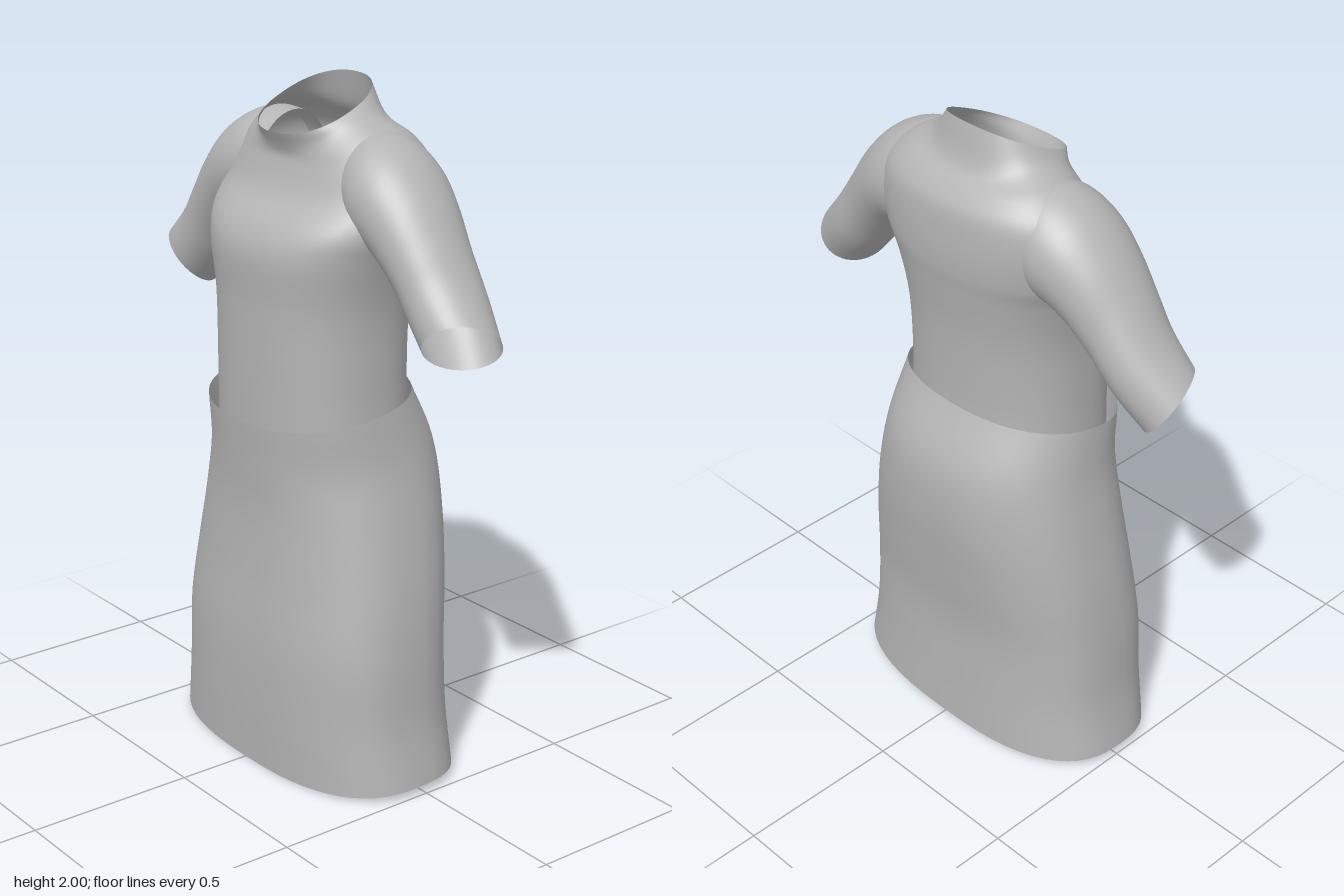
import * as THREE from 'three';

const SEG = 56;
const fabric = new THREE.MeshStandardMaterial({ color: 0xb4b4b4, side: THREE.DoubleSide });
fabric.name = 'grey fabric';

// Open tube of cloth: smooth curves run through matching points of every ring.
function loft(name, ringPoints, steps, flip = false) {
  const pos = [], index = [];
  for (let i = 0; i < SEG; i++) {
    const column = new THREE.CatmullRomCurve3(ringPoints.map(f => f((i / SEG) * Math.PI * 2)));
    for (let j = 0; j <= steps; j++) pos.push(...column.getPoint(j / steps).toArray());
  }
  const row = steps + 1;
  for (let i = 0; i < SEG; i++) {
    for (let j = 0; j < steps; j++) {
      const a = i * row + j, b = ((i + 1) % SEG) * row + j;
      if (flip) index.push(a, b, a + 1, b, b + 1, a + 1);
      else index.push(a, a + 1, b, b, a + 1, b + 1);
    }
  }
  const geometry = new THREE.BufferGeometry();
  geometry.setAttribute('position', new THREE.Float32BufferAttribute(pos, 3));
  geometry.setIndex(index);
  geometry.computeVertexNormals();
  const mesh = new THREE.Mesh(geometry, fabric);
  mesh.name = name;
  return mesh;
}

// Body ring: half width, front z, back z, y at front / side / back, squareness.
const bodyRing = ([w, zF, zB, yF, yS = yF, yB = yF, n = 2.3]) => t => {
  const power = v => Math.sign(v) * Math.pow(Math.abs(v), 2 / n);
  const c = power(Math.cos(t)), s = power(Math.sin(t));
  return new THREE.Vector3(
    w * c,
    yS + s * (yF - yB) / 2 + s * s * ((yF + yB) / 2 - yS),
    (zF + zB) / 2 + s * (zF - zB) / 2
  );
};

// Sleeve ring: upper x,y, lower x,y, front z, back z, slant of the opening.
const sleeveRing = side => ([ux, uy, lx, ly, zF, zB, slant = 0]) => t => {
  const c = Math.cos(t), s = Math.sin(t);
  return new THREE.Vector3(
    side * ((ux + lx) / 2 + c * (ux - lx) / 2 - s * slant),
    (uy + ly) / 2 + c * (uy - ly) / 2 + s * slant,
    (zF + zB) / 2 + s * (zF - zB) / 2
  );
};

const skirtRings = [
  [0.495, 0.28, -0.25, 0.005, 0.03, 0.02, 2.6],
  [0.465, 0.287, -0.245, 0.2, 0.2, 0.2, 2.6],
  [0.45, 0.288, -0.245, 0.4, 0.4, 0.4, 2.6],
  [0.425, 0.275, -0.268, 0.6, 0.6, 0.6, 2.5],
  [0.385, 0.268, -0.288, 0.8, 0.8, 0.8, 2.4],
  [0.35, 0.275, -0.278, 0.93, 0.96, 0.98],
  [0.33, 0.285, -0.2, 1.06, 1.11, 1.15],
];

const torsoRings = [
  [0.3, 0.262, -0.2, 1.02, 1.06, 1.1],
  [0.295, 0.265, -0.2, 1.2],
  [0.298, 0.268, -0.21, 1.4],
  [0.33, 0.272, -0.23, 1.55],
  [0.355, 0.245, -0.24, 1.62],
  [0.36, 0.175, -0.24, 1.7, 1.72, 1.72],
  [0.335, 0.145, -0.23, 1.77, 1.8, 1.8],
  [0.28, 0.138, -0.2, 1.8, 1.86, 1.845],
  [0.2, 0.145, -0.158, 1.825, 1.905, 1.885],
  [0.16, 0.165, -0.125, 1.865, 1.93, 2.0],
];

const sleeveRings = [
  [0.16, 1.88, 0.2, 1.56, 0.09, -0.16],
  [0.26, 1.88, 0.28, 1.55, 0.125, -0.185],
  [0.36, 1.835, 0.32, 1.54, 0.128, -0.178],
  [0.45, 1.75, 0.36, 1.51, 0.12, -0.16],
  [0.53, 1.64, 0.42, 1.45, 0.11, -0.14],
  [0.6, 1.54, 0.48, 1.38, 0.108, -0.125, 0.02],
  [0.69, 1.44, 0.555, 1.3, 0.11, -0.09, 0.035],
];

export function createModel() {
  const group = new THREE.Group();
  group.name = 'dress';
  group.add(loft('skirt', skirtRings.map(bodyRing), 36));
  group.add(loft('shirtBody', torsoRings.map(bodyRing), 54));
  // Mirrored short sleeves
  for (const [name, side] of [['leftSleeve', 1], ['rightSleeve', -1]]) {
    group.add(loft(name, sleeveRings.map(sleeveRing(side)), 36, side < 0));
  }
  return group;
}
